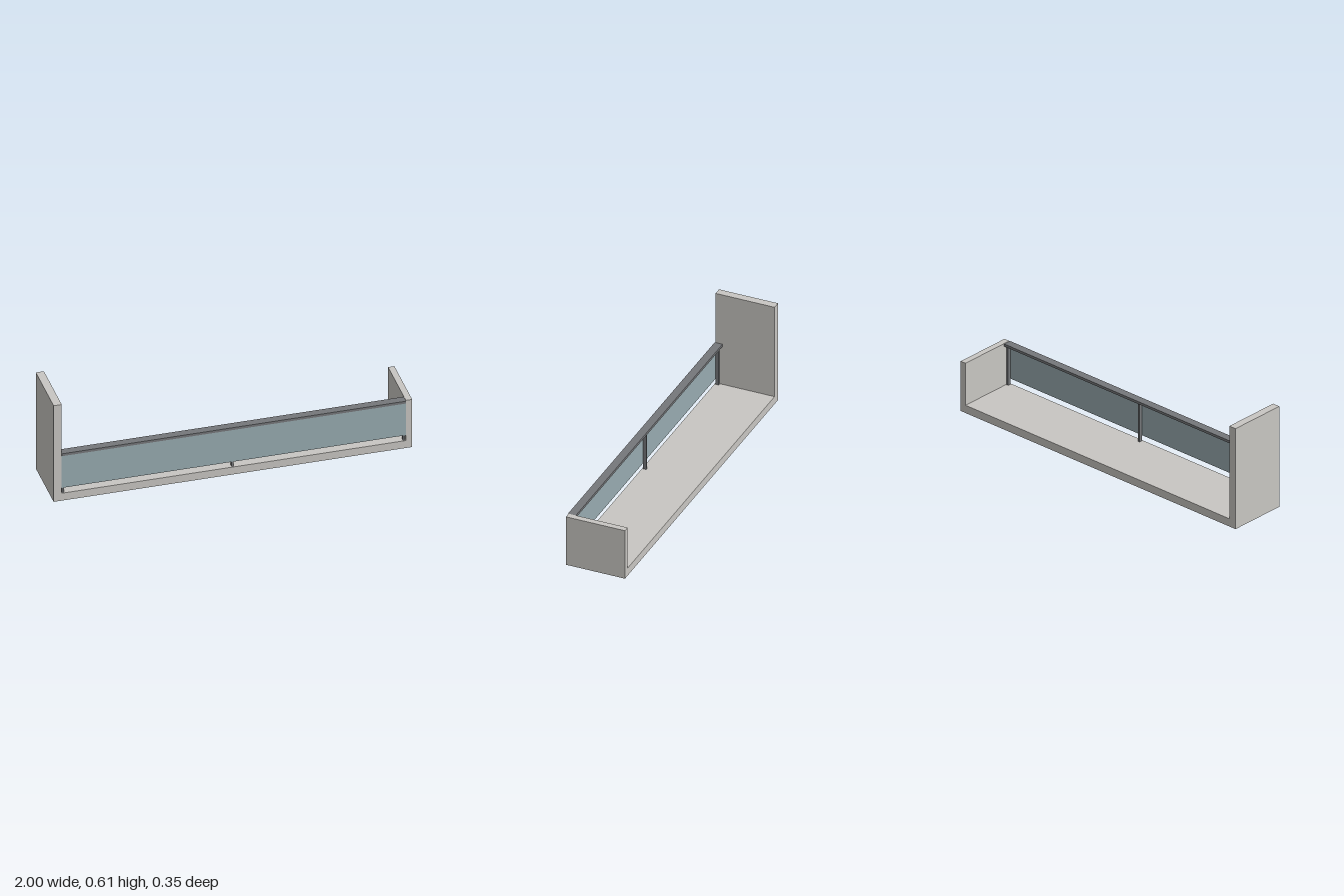
import * as THREE from 'three';

export function createModel() {
  const group = new THREE.Group();
  const material = (name, color) => {
    const m = new THREE.MeshStandardMaterial({ color });
    m.name = name;
    return m;
  };
  const concrete = material('concrete', 0xc8c6c2);
  const glass = material('tinted glass', 0x98abb0);
  const metal = material('dark metal', 0x75777a);

  // Box given by its lower and upper corners
  const box = (name, mat, [x0, y0, z0], [x1, y1, z1]) => {
    const mesh = new THREE.Mesh(new THREE.BoxGeometry(x1 - x0, y1 - y0, z1 - z0), mat);
    mesh.position.set((x0 + x1) / 2, (y0 + y1) / 2, (z0 + z1) / 2);
    mesh.name = name;
    group.add(mesh);
  };

  const back = -0.175, front = 0.172;
  const innerRight = -0.955, innerLeft = 0.965;

  // Balcony slab between a tall and a low side wall
  box('floorSlab', concrete, [innerRight, 0, back], [innerLeft, 0.047, front]);
  box('tallWall', concrete, [-1, 0, back], [innerRight, 0.61, front]);
  box('lowWall', concrete, [innerLeft, 0, back], [1, 0.302, front]);

  // Railing: glass panel, handrail and posts
  box('glassPanel', glass, [innerRight, 0.08, 0.167], [innerLeft, 0.286, 0.171]);
  box('handrail', metal, [innerRight, 0.285, 0.131], [innerLeft, 0.3, 0.177]);
  for (const x of [-0.946, 0, 0.956]) {
    box('post', metal, [x - 0.006, 0.047, 0.147], [x + 0.006, 0.285, 0.167]);
  }
  return group;
}
